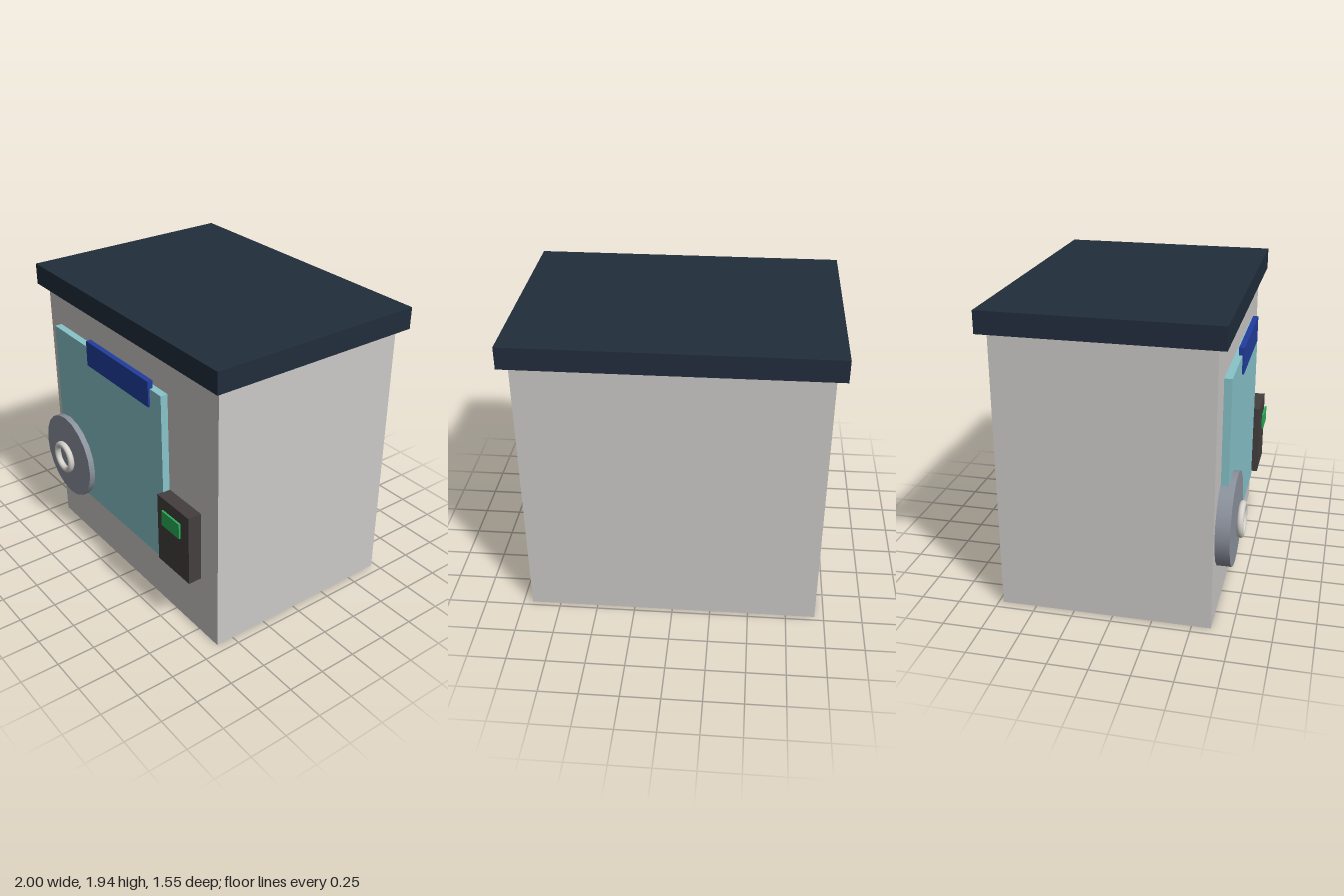
import * as THREE from 'three';

const paint = (name, color) => {
  const m = new THREE.MeshStandardMaterial({ color });
  m.name = name;
  return m;
};

export function createModel() {
  const model = new THREE.Group();
  model.name = 'kiosk';

  const wall = paint('warm light grey', 0xcbc9c7);
  const navy = paint('dark navy', 0x212d3c);
  const teal = paint('pale teal', 0x88c4cb);
  const blue = paint('deep blue', 0x223e9e);
  const steel = paint('steel grey', 0x8c929d);
  const pale = paint('pale stone', 0xd6d3ce);
  const charcoal = paint('charcoal', 0x443f3e);
  const green = paint('screen green', 0x2cb05a);

  const add = (name, geometry, material, x, y, z) => {
    const mesh = new THREE.Mesh(geometry, material);
    mesh.name = name;
    mesh.position.set(x, y, z);
    model.add(mesh);
    return mesh;
  };

  // Box given by its lower and upper limits on each axis
  const box = (name, material, [x0, x1], [y0, y1], [z0, z1]) =>
    add(name, new THREE.BoxGeometry(x1 - x0, y1 - y0, z1 - z0), material,
      (x0 + x1) / 2, (y0 + y1) / 2, (z0 + z1) / 2);

  // Cabin and overhanging roof slab
  box('body', wall, [-0.94, 0.94], [0, 1.8], [-0.72, 0.62]);
  box('roof', navy, [-1, 1], [1.8, 1.94], [-0.775, 0.675]);

  // Front window with its sign
  box('window', teal, [-0.785, 0.465], [0.395, 1.57], [0.632, 0.68]);
  box('sign', blue, [-0.355, 0.35], [1.45, 1.62], [0.657, 0.692]);

  // Payment terminal
  box('terminal', charcoal, [0.46, 0.785], [0.43, 0.91], [0.63, 0.72]);
  box('terminalScreen', green, [0.535, 0.718], [0.735, 0.84], [0.73, 0.743]);

  // Round hatch with ring handle
  const disc = new THREE.CylinderGeometry(0.296, 0.296, 0.09, 20).rotateX(Math.PI / 2);
  add('hatch', disc, steel, -0.67, 0.63, 0.675);
  add('handleRing', new THREE.TorusGeometry(0.094, 0.022, 12, 32), pale, -0.67, 0.63, 0.752);

  return model;
}
